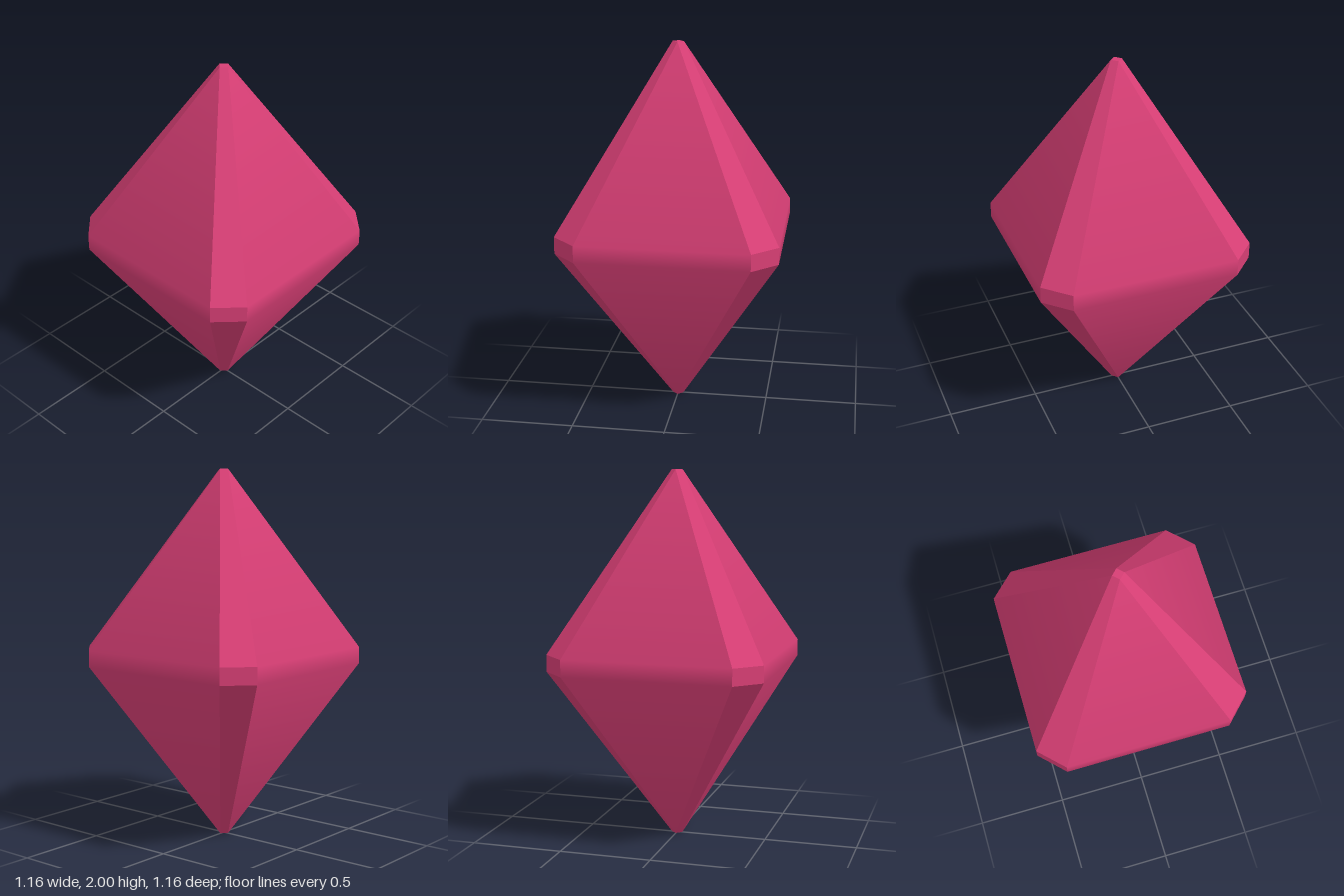
import * as THREE from 'three';

const HEIGHT = 2, TIP = 0.03;          // overall height, radius of the cut-off tips
const HALF = 0.58, EDGE = 0.45;        // belt half width, half length of a main facet's edge
const UP = 1.045, LOW = 0.955;         // upper and lower edges of the belt

function geometryFrom(points, index) {
  const geometry = new THREE.BufferGeometry();
  geometry.setAttribute('position', new THREE.Float32BufferAttribute(points.flat(), 3));
  geometry.setIndex(index);
  return geometry;
}

// Main facet: upper and lower triangles blended smoothly across the belt
function mainFacetGeometry() {
  const geometry = geometryFrom([
    [0, HEIGHT, TIP], [-EDGE, UP, HALF], [EDGE, UP, HALF],
    [-EDGE, LOW, HALF], [EDGE, LOW, HALF], [0, 0, TIP],
  ], [0, 1, 2, 1, 3, 4, 1, 4, 2, 5, 4, 3]);
  const slope = new THREE.Vector3(0, HALF - TIP, HEIGHT - UP).normalize();
  const belt = slope.clone().add(new THREE.Vector3(0, 0, 1)).normalize();
  const normals = [slope, belt, belt, belt, belt, slope]
    .flatMap((n, i) => [0, i < 3 ? n.y : -n.y, n.z]);
  geometry.setAttribute('normal', new THREE.Float32BufferAttribute(normals, 3));
  return geometry;
}

// Corner bevel: three flat quads running from tip to tip
function cornerBevelGeometry() {
  const left = [[0, HEIGHT, TIP], [EDGE, UP, HALF], [EDGE, LOW, HALF], [0, 0, TIP]];
  const points = left.flatMap(([x, y, z]) => [[x, y, z], [z, y, x]]);
  const index = [];
  for (let i = 0; i < 6; i += 2) index.push(i, i + 2, i + 3, i, i + 3, i + 1);
  const geometry = geometryFrom(points, index).toNonIndexed();
  geometry.computeVertexNormals();
  return geometry;
}

export function createModel() {
  const group = new THREE.Group();
  group.name = 'crystal';
  const crimson = new THREE.MeshStandardMaterial({ color: 0xd63e74 });
  crimson.name = 'crimson';

  const add = (name, geometry) => {
    const mesh = new THREE.Mesh(geometry, crimson);
    mesh.name = name;
    group.add(mesh);
    return mesh;
  };

  // Four main facets and four corner bevels around the axis
  const facet = mainFacetGeometry(), bevel = cornerBevelGeometry();
  for (let i = 0; i < 4; i++) {
    add('mainFacet' + (i + 1), facet).rotation.y = i * Math.PI / 2;
    add('cornerBevel' + (i + 1), bevel).rotation.y = i * Math.PI / 2;
  }

  // Small diamond caps closing the tips
  const cap = new THREE.CircleGeometry(TIP, 4);
  const top = add('topCap', cap);
  top.rotation.x = -Math.PI / 2;
  top.position.y = HEIGHT;
  add('bottomCap', cap).rotation.x = Math.PI / 2;

  return group;
}
